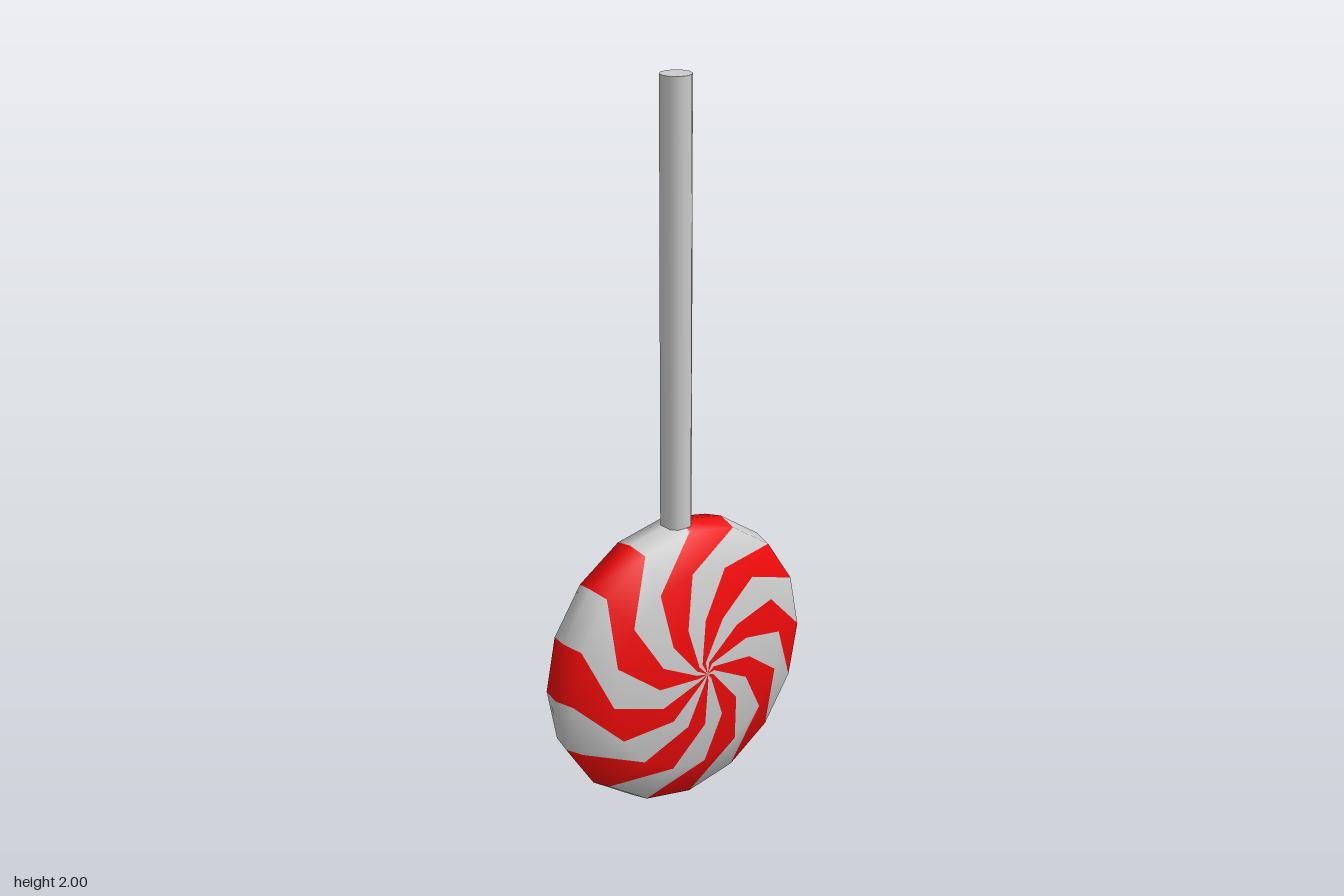
import * as THREE from 'three';

const SIDES = 16;
const CENTRE_Y = 0.405;

// Half profile from the face centre to the rim: radius, depth, twist in degrees
const HALF = [
  [0, 0.135, 65],
  [0.03, 0.125, 65],
  [0.155, 0.125, 45],
  [0.287, 0.097, 27],
  [0.391, 0.058, 0],
  [0.405, 0, 0],
];

// Candy disc: twisted rings mirrored front to back, faces sorted into two colours
function candyGeometries() {
  const back = HALF.slice(0, -1).reverse().map(([r, z, t]) => [r, -z, t]);
  const rings = [...HALF, ...back];
  const last = rings.length - 1;
  const positions = [];
  for (const [r, z, twist] of rings) {
    for (let k = 0; k < SIDES; k++) {
      const a = (k / SIDES) * Math.PI * 2 - THREE.MathUtils.degToRad(twist);
      positions.push(r * Math.sin(a), r * Math.cos(a), z);
    }
  }
  // Each pole uses one shared vertex
  const id = (i, k) => i * SIDES + (i === 0 || i === last ? 0 : k % SIDES);

  const stripes = [[], []];
  for (let i = 0; i < last; i++) {
    for (let k = 0; k < SIDES; k++) {
      const a = id(i, k), b = id(i, k + 1), c = id(i + 1, k), d = id(i + 1, k + 1);
      // Split each quad along its shorter diagonal
      const tris = i < HALF.length - 1 ? [[a, b, c], [b, d, c]] : [[a, b, d], [a, d, c]];
      for (const t of tris) {
        if (new Set(t).size === 3) stripes[k % 2].push(...t);
      }
    }
  }

  // Smooth normals are computed over the whole disc, then shared by both colours
  const whole = new THREE.BufferGeometry();
  whole.setAttribute('position', new THREE.Float32BufferAttribute(positions, 3));
  whole.setIndex([...stripes[0], ...stripes[1]]);
  whole.computeVertexNormals();
  return stripes.map((index) => {
    const g = whole.clone();
    g.setIndex(index);
    return g;
  });
}

export function createModel() {
  const model = new THREE.Group();
  model.name = 'lollipop';
  const grey = new THREE.MeshStandardMaterial({ color: 0xcccccc });
  const red = new THREE.MeshStandardMaterial({ color: 0xee0a0a });

  const candy = new THREE.Group();
  candy.name = 'candy';
  candy.position.y = CENTRE_Y;
  const [redStripes, paleStripes] = candyGeometries();
  for (const [name, geometry, material] of [
    ['redStripes', redStripes, red],
    ['paleStripes', paleStripes, grey],
  ]) {
    const mesh = new THREE.Mesh(geometry, material);
    mesh.name = name;
    candy.add(mesh);
  }
  model.add(candy);

  // Stick, with its lower end sunk into the rim
  const bottom = 0.78, top = 2;
  const stick = new THREE.Mesh(new THREE.CylinderGeometry(0.042, 0.042, top - bottom, 12), grey);
  stick.name = 'stick';
  stick.position.y = (top + bottom) / 2;
  model.add(stick);

  return model;
}
